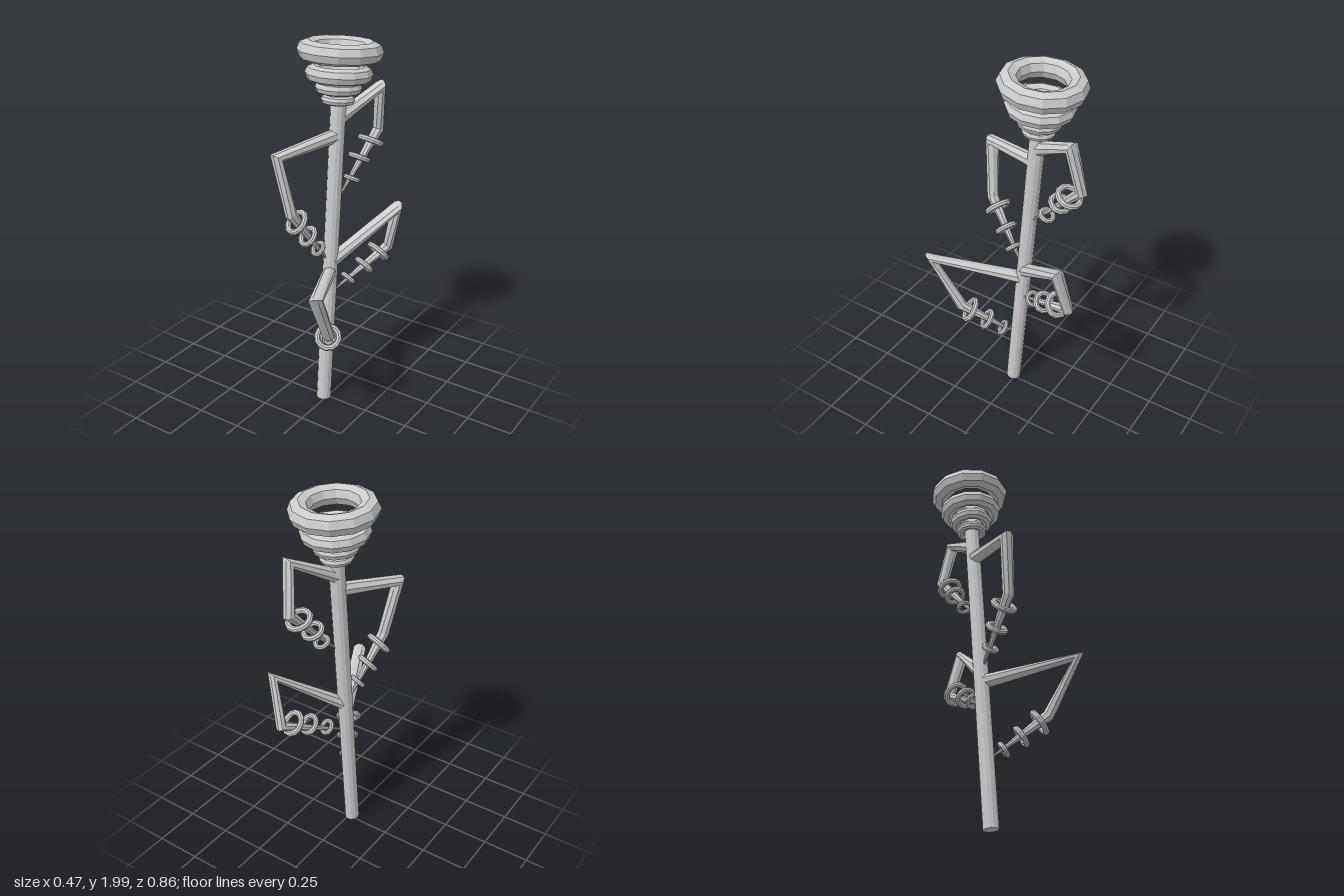
import * as THREE from 'three';

const V = (a) => new THREE.Vector3(...a);
const material = new THREE.MeshStandardMaterial({ color: 0xcccccc, flatShading: true, side: THREE.DoubleSide });

function add(parent, name, geometry) {
  const mesh = new THREE.Mesh(geometry, material);
  mesh.name = name;
  parent.add(mesh);
  return mesh;
}

// Ring lying across the given axis
function addRing(parent, name, center, axis, radius, tube, sides) {
  const ring = add(parent, name, new THREE.TorusGeometry(radius, tube, 8, sides));
  ring.position.copy(center);
  ring.quaternion.setFromUnitVectors(new THREE.Vector3(0, 0, 1), axis.clone().normalize());
}

// Polygonal tube through sharp corners, with one radius per point
function bentTube(points, radii, sides = 8) {
  const dirs = points.slice(1).map((p, i) => p.clone().sub(points[i]).normalize());
  const bend = dirs[0].clone().cross(dirs[1]).normalize();
  const pos = [], index = [];
  points.forEach((p, i) => {
    const t = dirs[Math.max(i - 1, 0)].clone().add(dirs[Math.min(i, dirs.length - 1)]).normalize();
    const u = bend.clone().addScaledVector(t, -bend.dot(t)).normalize();
    const v = t.clone().cross(u);
    for (let j = 0; j < sides; j++) {
      const a = ((j + 0.5) / sides) * Math.PI * 2;
      const q = p.clone().addScaledVector(u, Math.cos(a) * radii[i]).addScaledVector(v, Math.sin(a) * radii[i]);
      pos.push(q.x, q.y, q.z);
      if (i < points.length - 1) {
        const k = (j + 1) % sides, r = i * sides, n = r + sides;
        index.push(r + j, r + k, n + j, r + k, n + k, n + j);
      }
    }
  });
  const g = new THREE.BufferGeometry();
  g.setAttribute('position', new THREE.Float32BufferAttribute(pos, 3));
  g.setIndex(index);
  g.computeVertexNormals();
  return g;
}

export function createModel() {
  const group = new THREE.Group();

  // Leaning stem
  const bottom = V([-0.015, 0.005, 0.015]), top = V([-0.015, 1.69, -0.123]);
  const lean = top.clone().sub(bottom);
  const stem = add(group, 'stem', new THREE.CylinderGeometry(0.04, 0.04, lean.length(), 12));
  stem.position.copy(bottom).add(top).multiplyScalar(0.5);
  stem.quaternion.setFromUnitVectors(new THREE.Vector3(0, 1, 0), lean.clone().normalize());

  // Stacked blossom rings: height, z, radius, tube
  const blossom = new THREE.Group();
  blossom.name = 'blossom';
  group.add(blossom);
  [
    [1.69, -0.122, 0.063, 0.022],
    [1.75, -0.126, 0.088, 0.03],
    [1.82, -0.13, 0.129, 0.041],
    [1.93, -0.14, 0.163, 0.052],
  ].forEach(([y, z, r, tube]) => addRing(blossom, 'blossomRing', V([-0.018, y, z]), lean, r, tube, 12));

  // Bent branches: path from the stem and back, axis of the rings, ring positions
  const branches = [
    {
      name: 'upperBackBranch', axis: [0.1, 0.85, -0.45],
      path: [[-0.015, 1.59, -0.12], [0.085, 1.72, -0.355], [0.055, 1.48, -0.4], [0, 1.17, -0.1]],
      rings: [[0.05, 1.43, -0.335], [0.02, 1.35, -0.27], [0.02, 1.255, -0.2]],
    },
    {
      name: 'upperFrontBranch', axis: [-0.3, 0.65, 0.7],
      path: [[-0.015, 1.51, -0.105], [-0.145, 1.46, 0.225], [-0.09, 1.16, 0.19], [-0.02, 0.83, -0.04]],
      rings: [[-0.083, 1.11, 0.155], [-0.06, 1.013, 0.09], [-0.038, 0.925, 0.03]],
    },
    {
      name: 'lowerBackBranch', axis: [0.3, 0.65, -0.7],
      path: [[-0.015, 0.82, -0.05], [0.2, 1.075, -0.37], [0.135, 0.82, -0.4], [0, 0.65, -0.05]],
      rings: [[0.115, 0.807, -0.33], [0.085, 0.755, -0.233], [0.04, 0.702, -0.142]],
    },
    {
      name: 'lowerFrontBranch', axis: [0.47, 0.57, 0.66],
      path: [[-0.015, 0.765, -0.045], [0.2, 0.855, 0.4], [0.165, 0.57, 0.235], [0, 0.36, 0]],
      rings: [[0.137, 0.535, 0.2], [0.09, 0.467, 0.122], [0.042, 0.403, 0.05]],
    },
  ];
  const ringSizes = [[0.057, 0.016], [0.047, 0.015], [0.034, 0.013]];
  for (const { name, axis, path, rings } of branches) {
    const branch = new THREE.Group();
    branch.name = name;
    group.add(branch);
    add(branch, 'bentStalk', bentTube(path.map(V), [0.037, 0.037, 0.031, 0.004]));
    rings.forEach((c, i) => addRing(branch, 'branchRing', V(c), V(axis), ...ringSizes[i], 12));
  }
  return group;
}
